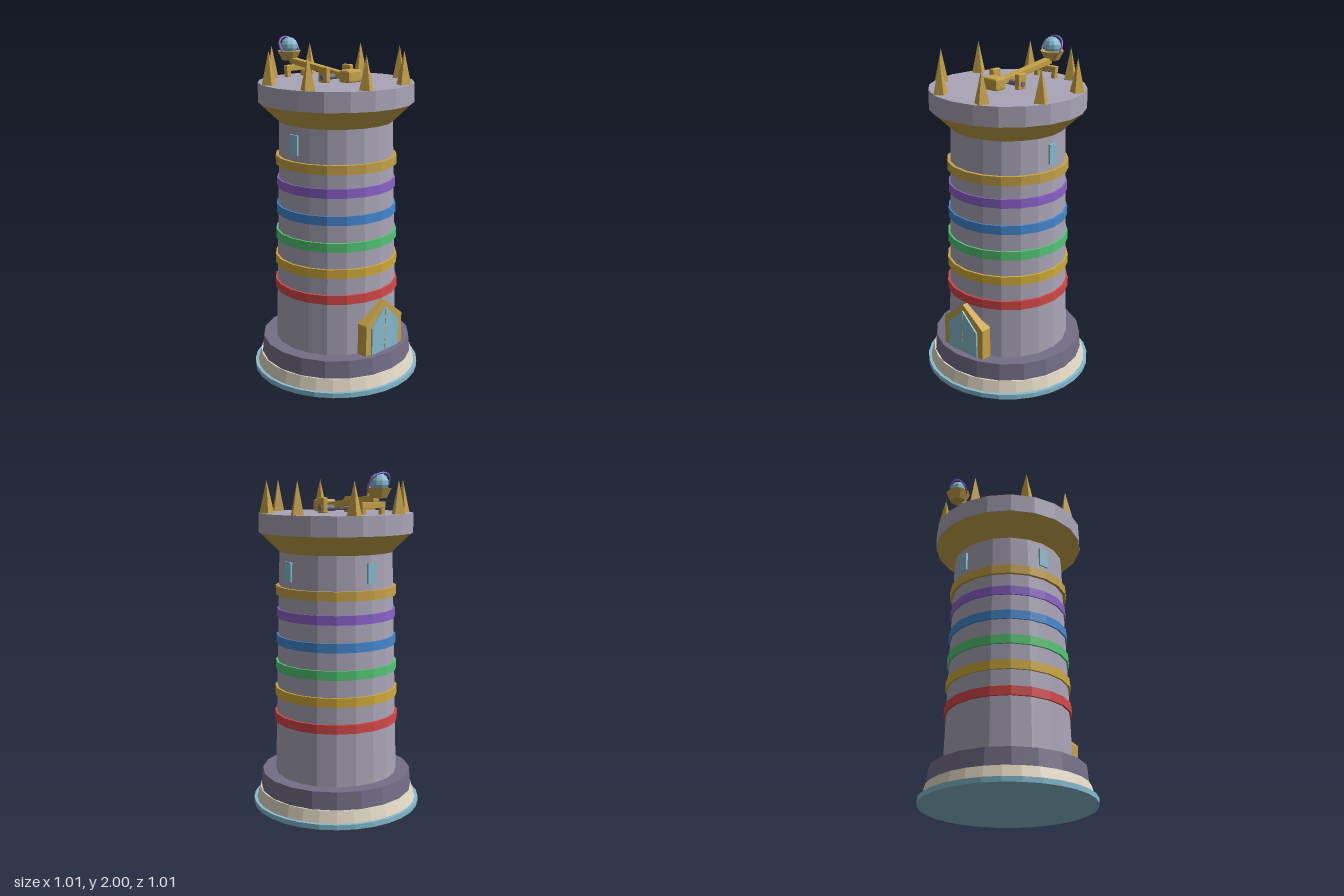
import * as THREE from 'three';
import { RoundedBoxGeometry } from 'three/addons/geometries/RoundedBoxGeometry.js';

const palette = {
  wallStone: 0xaaa5b7, darkStone: 0x756f88, creamStone: 0xe2d8c4, paleBlue: 0x86bcd0, gold: 0xc7a348,
  red: 0xd64848, yellow: 0xcfab3a, green: 0x54c676, blue: 0x4488d0, purple: 0x8c62cb,
};
const SIDES = 20;

export function createModel() {
  const tower = new THREE.Group();
  tower.name = 'tower';
  const mats = {};
  for (const [name, color] of Object.entries(palette)) {
    mats[name] = new THREE.MeshStandardMaterial({ color });
    mats[name].name = name;
  }

  // Adds a faceted mesh
  function add(name, geometry, mat, x = 0, y = 0, z = 0, parent = tower) {
    const flat = geometry.index ? geometry.toNonIndexed() : geometry;
    flat.computeVertexNormals();
    const mesh = new THREE.Mesh(flat, mats[mat]);
    mesh.name = name;
    mesh.position.set(x, y, z);
    parent.add(mesh);
    return mesh;
  }
  // Round course between two heights
  const course = (name, mat, y0, y1, r0, r1, sides = SIDES) =>
    add(name, new THREE.CylinderGeometry(r1, r0, y1 - y0, sides), mat, 0, (y0 + y1) / 2, 0);
  const block = (w, h, d, r = 0.006) => new RoundedBoxGeometry(w, h, d, 1, r);

  // Foundation, shaft and crown
  course('groundDisc', 'paleBlue', 0, 0.03, 0.507, 0.507, 30);
  course('creamFooting', 'creamStone', 0.03, 0.1, 0.488, 0.468, 30);
  course('plinth', 'darkStone', 0.095, 0.205, 0.462, 0.452);
  course('shaft', 'wallStone', 0.2, 1.56, 0.37, 0.334);
  course('corbel', 'gold', 1.54, 1.652, 0.335, 0.452);
  course('crown', 'wallStone', 1.652, 1.765, 0.455, 0.455);

  // Coloured bands
  const bands = [
    ['red', 0.55, 0.373], ['yellow', 0.707, 0.369], ['green', 0.864, 0.364],
    ['blue', 1.021, 0.358], ['purple', 1.179, 0.353], ['gold', 1.315, 0.359],
  ];
  for (const [color, y, r] of bands) course(color + 'Band', color, y - 0.027, y + 0.027, r, r);

  // Windows on the two sides and the back
  for (const angle of [Math.PI / 2, Math.PI, -Math.PI / 2]) {
    const w = add('window', new THREE.BoxGeometry(0.06, 0.115, 0.018), 'paleBlue',
      Math.sin(angle) * 0.336, 1.437, Math.cos(angle) * 0.336);
    w.rotation.y = angle;
  }

  // Pointed doorway
  const gable = (half, shoulder, peak) => new THREE.Shape([
    new THREE.Vector2(-half, 0.2), new THREE.Vector2(half, 0.2), new THREE.Vector2(half, shoulder),
    new THREE.Vector2(0, peak), new THREE.Vector2(-half, shoulder),
  ]);
  const slab = (shape, depth) => new THREE.ExtrudeGeometry(shape, { depth, bevelEnabled: false });
  add('doorFrame', slab(gable(0.157, 0.395, 0.518), 0.067), 'gold', 0, 0, 0.33);
  add('doorPanel', slab(gable(0.115, 0.37, 0.48), 0.01), 'paleBlue', 0, 0, 0.397);
  for (let i = 0; i < 5; i++) {
    add('doorSeam', new THREE.BoxGeometry(0.008, 0.035, 0.006), 'gold', 0, 0.225 + i * 0.055, 0.406);
  }

  // Ring of spikes on the crown
  for (let i = 0; i < 8; i++) {
    const a = (i + 0.5) * Math.PI / 4;
    const s = add('spike', new THREE.ConeGeometry(0.043, 0.19, 4), 'gold',
      Math.sin(a) * 0.41, 1.86, Math.cos(a) * 0.41);
    s.rotation.y = a;
  }

  // Catapult
  const catapult = new THREE.Group();
  catapult.name = 'catapult';
  tower.add(catapult);
  const part = (name, geometry, mat, x, y, z) => add(name, geometry, mat, x, y, z, catapult);
  part('axle', new THREE.CylinderGeometry(0.017, 0.017, 0.236, 8), 'darkStone', 0, 1.795, 0).rotation.z = Math.PI / 2;
  for (const side of [-1, 1]) {
    part('axlePost', block(0.032, 0.09, 0.066), 'gold', side * 0.097, 1.81, 0);
    part('restLeg', block(0.028, 0.06, 0.028, 0.003), 'gold', side * 0.066, 1.79, -0.34);
  }
  part('restBar', block(0.168, 0.036, 0.03, 0.003), 'gold', 0, 1.818, -0.34);
  part('counterweight', block(0.11, 0.07, 0.082, 0.01), 'gold', 0, 1.805, 0.115);
  part('throwingArm', block(0.044, 0.036, 0.47, 0.004), 'gold', 0, 1.829, -0.14).rotation.x = 0.125;

  // Bucket, orb and tilted ring
  part('bucket', new THREE.CylinderGeometry(0.074, 0.045, 0.055, 8), 'gold', 0, 1.885, -0.395).rotation.y = Math.PI / 8;
  part('orb', new THREE.SphereGeometry(0.053, 10, 7), 'paleBlue', 0, 1.941, -0.395);
  part('orbRing', new THREE.TorusGeometry(0.071, 0.006, 6, 20), 'purple', 0, 1.934, -0.395).rotation.x = -0.55;

  return tower;
}
